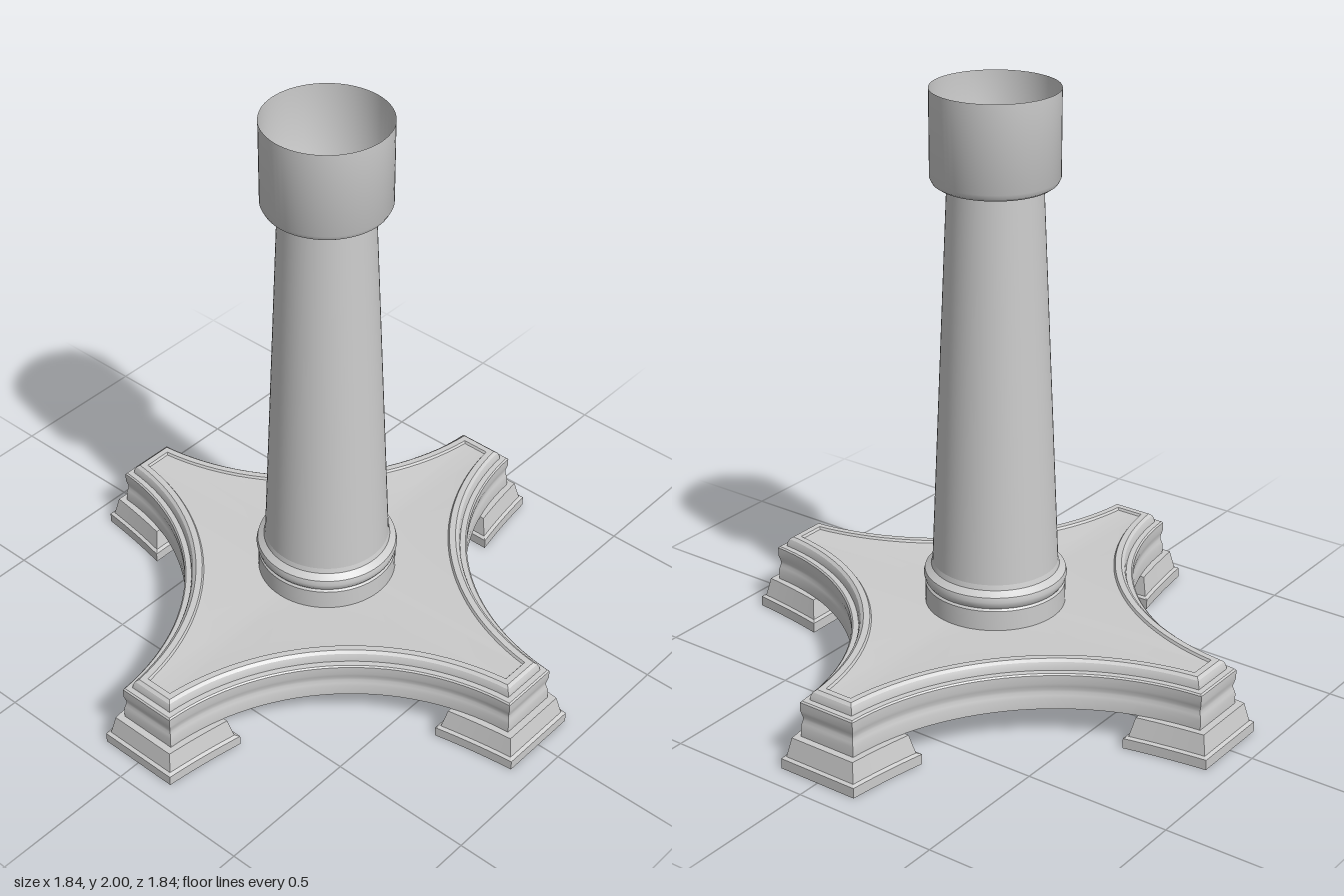
import * as THREE from 'three';
import { toCreasedNormals } from 'three/addons/utils/BufferGeometryUtils.js';

const ARC_CENTER = 0.92, ARC_RADIUS = 0.817, TIP = 0.87, STEPS = 28;
const grey = new THREE.MeshStandardMaterial({ color: 0xcccccc });
const greyThin = new THREE.MeshStandardMaterial({ color: 0xcccccc, side: THREE.DoubleSide });

function add(parent, name, geometry, material = grey) {
  const mesh = new THREE.Mesh(geometry, material);
  mesh.name = name;
  parent.add(mesh);
  return mesh;
}

// Joins closed rings of [x, y, z] points from bottom to top and caps both ends with fans.
// Rings run anticlockwise seen from above.
function loft(rings) {
  const pos = [];
  const tri = (a, b, c) => pos.push(...a, ...b, ...c);
  const n = rings[0].length;
  const middle = ring => [0, 1, 2].map(k => ring.reduce((s, p) => s + p[k], 0) / n);
  const low = rings[0], high = rings[rings.length - 1];
  const lowMid = middle(low), highMid = middle(high);
  for (let i = 0; i < n; i++) {
    const j = (i + 1) % n;
    for (let r = 0; r < rings.length - 1; r++) {
      const a = rings[r], b = rings[r + 1];
      tri(a[i], a[j], b[j]);
      tri(a[i], b[j], b[i]);
    }
    tri(lowMid, low[j], low[i]);
    tri(highMid, high[i], high[j]);
  }
  const geometry = new THREE.BufferGeometry();
  geometry.setAttribute('position', new THREE.Float32BufferAttribute(pos, 3));
  return toCreasedNormals(geometry, 0.45);
}

// Four-armed outline with concave sides, moved inwards by inset.
function starRing([inset, y]) {
  const ring = [], radius = ARC_RADIUS + inset, tip = TIP - inset;
  const h = ARC_CENTER - Math.sqrt(radius ** 2 - (ARC_CENTER - tip) ** 2);
  const from = Math.atan2(h - ARC_CENTER, tip - ARC_CENTER);
  const to = Math.atan2(tip - ARC_CENTER, h - ARC_CENTER);
  for (let arm = 0; arm < 4; arm++) {
    const turn = arm * Math.PI / 2, c = Math.cos(turn), s = Math.sin(turn);
    for (let i = 0; i <= STEPS; i++) {
      const a = from + (to - from) * i / STEPS;
      const u = ARC_CENTER + radius * Math.cos(a), v = ARC_CENTER + radius * Math.sin(a);
      ring.push([u * c - v * s, y, -(u * s + v * c)]);
    }
  }
  return ring;
}

// Foot outline on the +x arm, flaring gently towards the centre, moved inwards by inset.
function footRing([inset, y]) {
  const ring = [], inner = 0.64 + inset, outer = 0.92 - inset, n = 8;
  for (const side of [1, -1]) {
    for (let i = 0; i <= n; i++) {
      const t = side > 0 ? i / n : 1 - i / n;
      const x = inner + (outer - inner) * t;
      const flare = (0.92 - x) / 0.28;
      ring.push([x, y, side * (0.145 + 0.03 * flare + 0.015 * flare ** 2 - inset)]);
    }
  }
  return ring;
}

export function createModel() {
  const model = new THREE.Group();
  model.name = 'pedestalTableBase';

  // Moulded platform: softly grooved side, stepped rounded rim, sunken top panel
  const platformProfile = [
    [0, 0.105], [0, 0.14], [0.003, 0.152], [0.006, 0.164], [0.006, 0.172], [0.003, 0.184],
    [0, 0.196], [0, 0.225], [0.005, 0.23], [0.023, 0.231], [0.025, 0.245], [0.03, 0.257],
    [0.04, 0.265], [0.061, 0.265], [0.066, 0.257], [0.076, 0.256],
  ];
  add(model, 'platform', loft(platformProfile.map(starRing)));

  // Four stepped feet, one beneath each arm
  const footProfile = [[0, 0], [0, 0.035], [0.012, 0.04], [0.026, 0.105]];
  const footGeometry = loft(footProfile.map(footRing));
  for (let i = 0; i < 4; i++) {
    add(model, 'foot', footGeometry).rotation.y = i * Math.PI / 2;
  }

  const turned = points => toCreasedNormals(
    new THREE.LatheGeometry(points.map(([r, y]) => new THREE.Vector2(r, y)), 64), 0.5);

  // Round base moulding of the column
  add(model, 'columnBase', turned([
    [0.232, 0.25], [0.232, 0.325], [0.226, 0.332], [0.233, 0.342], [0.237, 0.358],
    [0.233, 0.374], [0.222, 0.382], [0.212, 0.39], [0.207, 0.41],
  ]), greyThin);

  // Tapered hollow column
  add(model, 'column', turned([[0.208, 0.4], [0.152, 1.693]]), greyThin);

  // Open collar at the top, with a chamfered lower edge
  add(model, 'collar', turned([
    [0.152, 1.693], [0.184, 1.693], [0.197, 1.702], [0.205, 1.718], [0.205, 2],
  ]), greyThin);

  return model;
}
